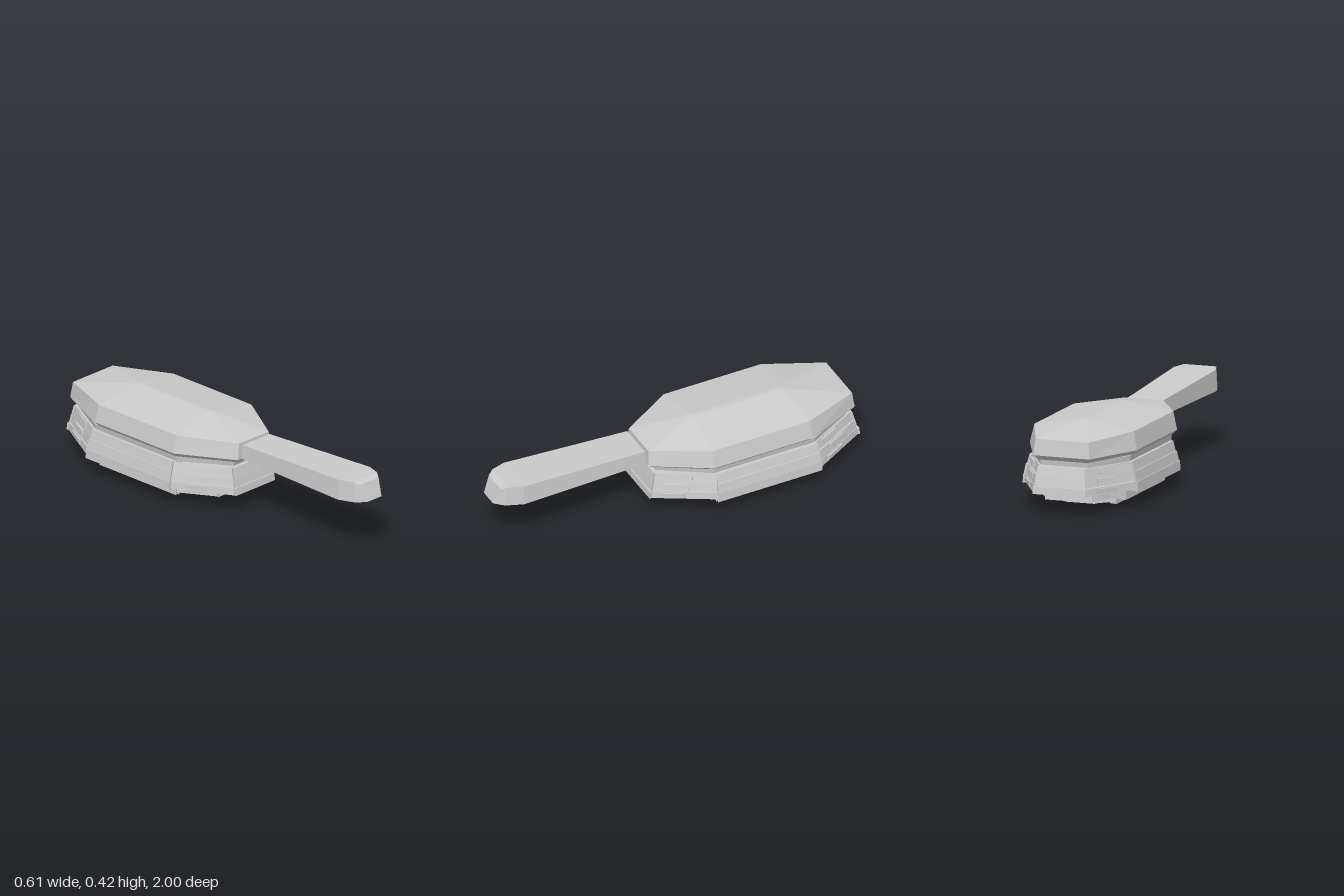
import * as THREE from 'three';

const material = new THREE.MeshStandardMaterial({ color: 0xcccccc, flatShading: true });
const CZ = -0.41; // centre of the head along z

// Small seeded generator, returns -1..1
function seeded(seed) {
  let s = seed;
  return () => {
    s = (s * 16807) % 2147483647;
    return (s / 2147483647) * 2 - 1;
  };
}

// Skins a stack of equal-length loops (counter-clockwise from the last loop's side) and caps both ends
function loft(name, loops) {
  const pos = [];
  const tri = (a, b, c) => {
    const u = b.clone().sub(a), v = c.clone().sub(a);
    if (u.cross(v).length() < 1e-8) return;
    for (const p of [a, b, c]) pos.push(p.x, p.y, p.z);
  };
  const n = loops[0].length;
  for (let k = 0; k < loops.length - 1; k++) {
    const a = loops[k], b = loops[k + 1];
    for (let i = 0; i < n; i++) {
      const j = (i + 1) % n;
      tri(a[i], a[j], b[j]);
      tri(a[i], b[j], b[i]);
    }
  }
  const first = loops[0], last = loops[loops.length - 1];
  for (let i = 1; i < n - 1; i++) {
    tri(first[0], first[i + 1], first[i]);
    tri(last[0], last[i], last[i + 1]);
  }
  const geo = new THREE.BufferGeometry();
  geo.setAttribute('position', new THREE.Float32BufferAttribute(pos, 3));
  geo.computeVertexNormals();
  const mesh = new THREE.Mesh(geo, material);
  mesh.name = name;
  return mesh;
}

const V = (x, y, z) => new THREE.Vector3(x, y, z);

// Long octagon, mirrored in x; starts at the front and runs towards +x
function octagon(y, wide, front, back, zFront, z1, z2, zBack, yEnd = y) {
  const half = [V(front, yEnd, zFront), V(wide, y, z1), V(wide, y, z2), V(back, yEnd, zBack)];
  return [...half, ...half.map((p) => V(-p.x, p.y, p.z)).reverse()];
}

// Octagon for a bristle ring, drawn in by an inset
function ringLoop(r, y, inset) {
  const end = Math.max(r.end - inset * 0.45, 0.02);
  return octagon(y, r.wide - inset, end, end, CZ + r.long - inset,
    CZ + r.straight - inset * 0.3, CZ - r.straight + inset * 0.3, CZ - r.long + inset);
}

// One concentric bristle ring: eight wedge pieces per tier, slightly uneven
function bristleRing(r, seed) {
  const group = new THREE.Group();
  group.name = r.name;
  const rand = seeded(seed);
  r.tiers.forEach(([y0, y1, in0, in1], t) => {
    for (let i = 0; i < 8; i++) {
      const j = (i + 1) % 8;
      const diagonal = i % 2 === 0 && i !== 7;
      const isSide = i === 1 || i === 5;
      const shift = (diagonal ? 0.01 : 0) + (t ? 0.004 * rand() : 0);
      const bottom = t === 0 && !isSide ? y0 + 0.011 : y0 + (t ? 0.004 * rand() : 0);
      const section = (y, inset) => {
        const o = ringLoop(r, y, inset + shift);
        const c = ringLoop(r, y, inset + shift + r.thick);
        return [o[i], o[j], c[j], c[i]];
      };
      group.add(loft('bristleTuft', [section(bottom, in0), section(y1, in1)]));

      // Broken chunk standing out on each diagonal
      if (diagonal && t < 3) {
        const from = 0.12 + 0.1 * (rand() + 1), to = from + 0.38;
        const chunk = (y, inset) => {
          const o = ringLoop(r, y, inset), c = ringLoop(r, y, inset + 0.04);
          return [o[i].clone().lerp(o[j], from), o[i].clone().lerp(o[j], to),
            c[i].clone().lerp(c[j], to), c[i].clone().lerp(c[j], from)];
        };
        group.add(loft('bristleChunk', [chunk(bottom + 0.008, in0 + 0.004), chunk(y1 - 0.006, in1)]));
      }
    }
  });
  return group;
}

export function createModel() {
  const brush = new THREE.Group();
  brush.name = 'hairbrush';

  // Head: bevelled underside, leaning sides and a low ridge on top
  const ridge = [V(0.01, 0.42, -0.13), V(0.01, 0.42, -0.13), V(0.01, 0.42, -0.63), V(0.01, 0.42, -0.63)];
  brush.add(loft('head', [
    octagon(0.264, 0.26, 0.1, 0.13, 0.15, -0.12, -0.65, -0.935),
    octagon(0.288, 0.284, 0.12, 0.15, 0.172, -0.11, -0.66, -0.96),
    octagon(0.38, 0.264, 0.105, 0.14, 0.165, -0.11, -0.65, -0.95, 0.37),
    [...ridge, ...ridge.map((p) => V(-p.x, p.y, p.z)).reverse()],
  ]));

  // Handle: widens and thickens slightly towards a chamfered tip
  const handleLoop = (z, zTop, w, wTop, y0, y1) =>
    [V(-w, y0, z), V(w, y0, z), V(wTop, y1, zTop), V(-wTop, y1, zTop)];
  brush.add(loft('handle', [
    handleLoop(0.18, 0.18, 0.1, 0.095, 0.292, 0.365),
    handleLoop(0.86, 0.86, 0.117, 0.11, 0.288, 0.393),
    handleLoop(0.95, 0.935, 0.085, 0.085, 0.29, 0.395),
    handleLoop(1.0, 0.965, 0.05, 0.065, 0.297, 0.382),
  ]));

  // Pad under the head that carries the bristles
  brush.add(loft('bristlePad', [
    octagon(0.23, 0.255, 0.1, 0.125, 0.12, -0.12, -0.68, -0.92),
    octagon(0.264, 0.26, 0.1, 0.125, 0.13, -0.12, -0.68, -0.925),
  ]));

  // Concentric bristle rings, each deeper and smaller; tiers are [bottom, top, inset, inset]
  const rings = [
    { name: 'outerBristles', wide: 0.307, long: 0.585, straight: 0.29, end: 0.14, thick: 0.05,
      tiers: [[0.089, 0.138, 0, 0.004], [0.14, 0.187, 0.008, 0.018], [0.188, 0.236, 0.022, 0.034]] },
    { name: 'middleBristles', wide: 0.234, long: 0.45, straight: 0.265, end: 0.125, thick: 0.045,
      tiers: [[0.037, 0.088, 0, 0.004], [0.09, 0.14, 0.006, 0.014], [0.141, 0.236, 0.014, 0.02]] },
    { name: 'innerBristles', wide: 0.16, long: 0.295, straight: 0.21, end: 0.08, thick: 0.04,
      tiers: [[0, 0.038, 0, 0.004], [0.04, 0.09, 0.006, 0.012], [0.092, 0.236, 0.012, 0.016]] },
  ];
  rings.forEach((r, i) => brush.add(bristleRing(r, 71 + i * 137)));

  // Solid tuft in the middle
  const core = { wide: 0.075, long: 0.17, straight: 0.1, end: 0.045 };
  brush.add(loft('centreTuft', [ringLoop(core, 0.014, 0), ringLoop(core, 0.06, 0.006), ringLoop(core, 0.236, 0.012)]));

  return brush;
}
